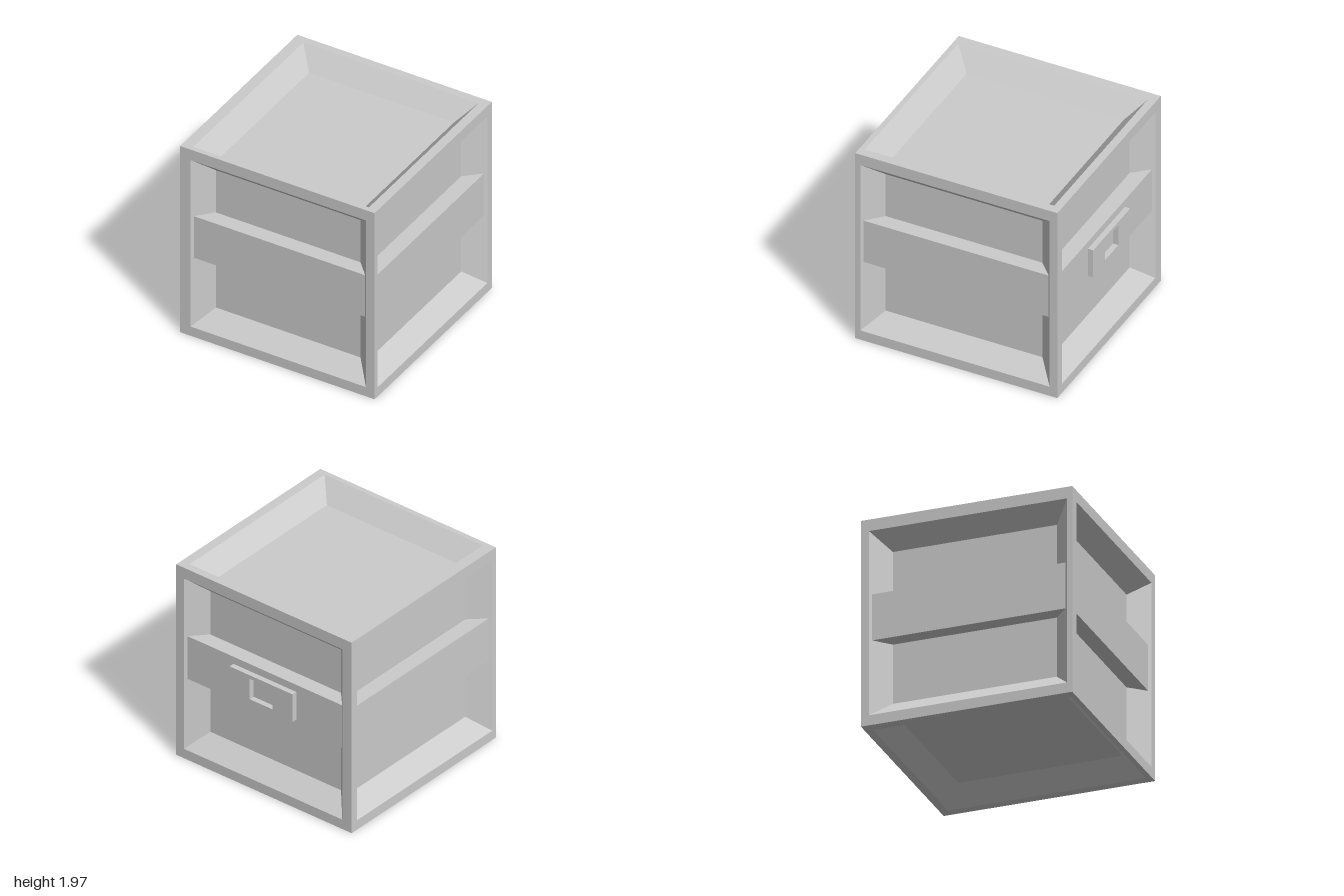
import * as THREE from 'three';

// Extents of the cube, recess mouth and recess floor along x, y, z
const OUTER = [[-0.985, 0.985], [0, 1.97], [-0.97, 1]];
const MOUTH = [[-0.88, 0.897], [0.097, 1.86], [-0.895, 0.951]];
const FLOOR = [[-0.726, 0.74], [0.253, 1.707], [-0.738, 0.79]];
const DEPTH = 0.17;
const BAND_GAP = 0.022;

const material = new THREE.MeshStandardMaterial({ color: 0xcccccc, flatShading: true });

function addMesh(parent, name, geometry) {
  const mesh = new THREE.Mesh(geometry, material);
  mesh.name = name;
  parent.add(mesh);
  return mesh;
}

// One cube side: flat rim, sloping walls and recessed floor
function recessedSide(axis, side) {
  const u = (axis + 1) % 3, v = (axis + 2) % 3;
  const surface = OUTER[axis][side];
  const sunk = surface + (side ? -DEPTH : DEPTH);
  const loop = (range, level) => [[0, 0], [1, 0], [1, 1], [0, 1]].map(([i, j]) => {
    const p = [];
    p[axis] = level;
    p[u] = range[u][i];
    p[v] = range[v][j];
    return p;
  });
  const loops = [loop(OUTER, surface), loop(MOUTH, surface), loop(FLOOR, sunk)];
  const positions = [];
  const quad = (a, b, c, d) => {
    const corners = side ? [a, b, c, a, c, d] : [a, c, b, a, d, c];
    corners.forEach((p) => positions.push(...p));
  };
  for (let k = 0; k < 2; k++) {
    for (let i = 0; i < 4; i++) {
      const j = (i + 1) % 4;
      quad(loops[k][i], loops[k][j], loops[k + 1][j], loops[k + 1][i]);
    }
  }
  quad(...loops[2]);
  const geometry = new THREE.BufferGeometry();
  geometry.setAttribute('position', new THREE.Float32BufferAttribute(positions, 3));
  geometry.computeVertexNormals();
  return geometry;
}

// Box between two opposite corners
function boxBetween(min, max) {
  const size = max.map((m, i) => m - min[i]);
  return new THREE.BoxGeometry(...size)
    .translate(...max.map((m, i) => (m + min[i]) / 2));
}

// Horizontal band standing in the recess of an upright side
function band(axis, side) {
  const across = axis === 0 ? 2 : 0;
  const surface = OUTER[axis][side];
  const inward = side ? -1 : 1;
  const levels = [surface + inward * BAND_GAP, surface + inward * DEPTH].sort((a, b) => a - b);
  const min = [0, 0.82, 0], max = [0, 1.26, 0];
  [min[axis], max[axis]] = levels;
  min[across] = MOUTH[across][0] + 0.02;
  max[across] = MOUTH[across][1] - 0.021;
  return boxBetween(min, max);
}

function rectangle(PathType, x0, y0, x1, y1) {
  return new PathType([[x0, y0], [x1, y0], [x1, y1], [x0, y1]]
    .map(([x, y]) => new THREE.Vector2(x, y)));
}

export function createModel() {
  const model = new THREE.Group();
  model.name = 'crate';

  // Six recessed sides
  const names = [['right', 'left'], ['bottom', 'top'], ['back', 'front']];
  for (let axis = 0; axis < 3; axis++) {
    for (let side = 0; side < 2; side++) {
      addMesh(model, names[axis][side] + 'Side', recessedSide(axis, side));
      if (axis !== 1) addMesh(model, names[axis][side] + 'Band', band(axis, side));
    }
  }

  // Latch plate with a window, on the back band
  const plate = rectangle(THREE.Shape, -0.345, 0.9, 0.36, 1.187);
  plate.holes.push(rectangle(THREE.Path, -0.12, 0.94, 0.135, 1.15));
  const latch = addMesh(model, 'latchPlate',
    new THREE.ExtrudeGeometry(plate, { depth: 0.052, bevelEnabled: false }));
  latch.position.z = -1;

  return model;
}
